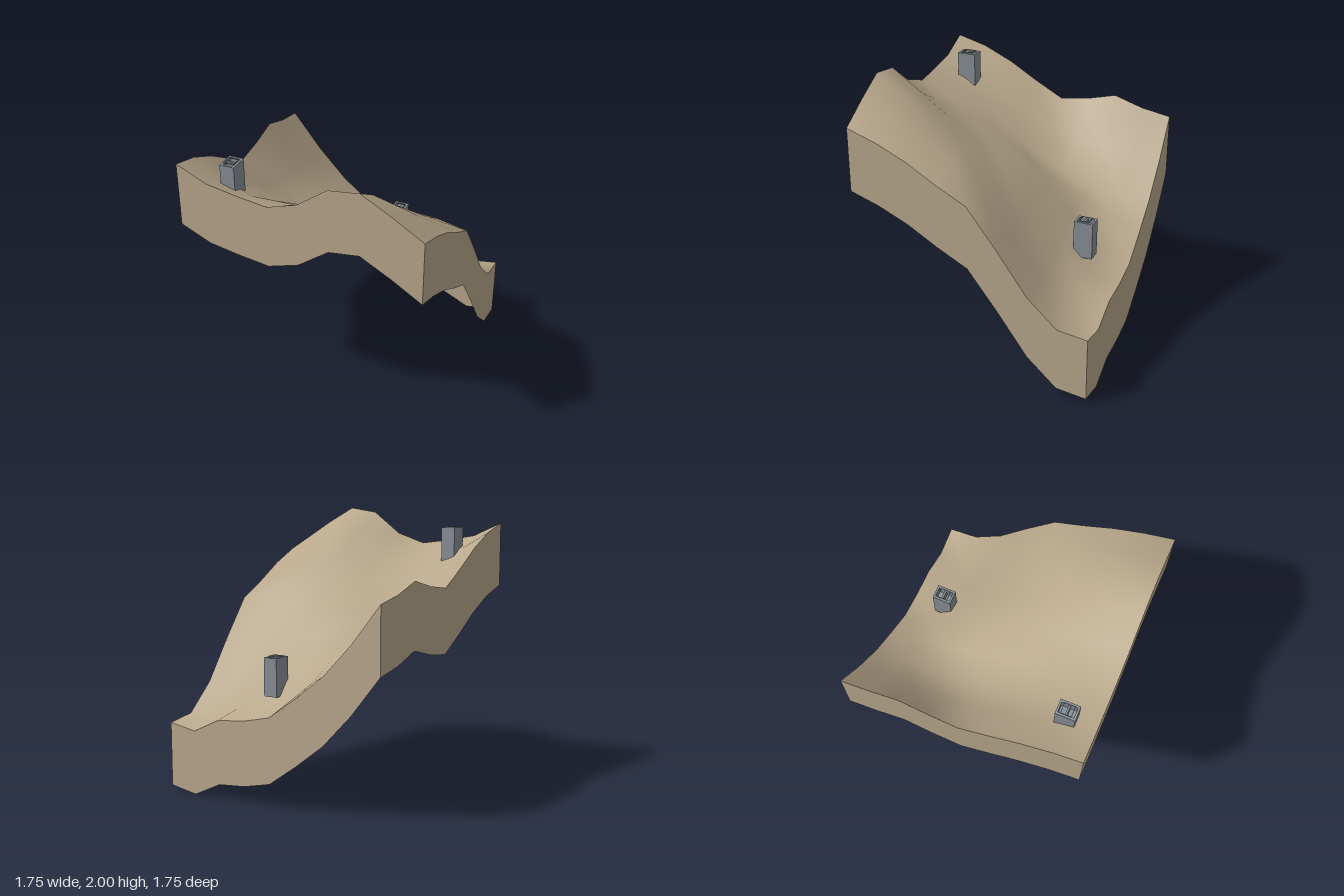
import * as THREE from 'three';

const HALF = 0.875, N = 9, STEP = (2 * HALF) / (N - 1), SKIRT = 0.465;

// Ground heights: one row per z from back to front, columns from -x to +x
const HEIGHTS = [
  [1.475, 1.20, 0.97, 0.80, 0.645, 0.595, 0.575, 0.47, 0.505],
  [1.515, 1.22, 1.00, 0.88, 0.71, 0.65, 0.62, 0.52, 0.535],
  [1.585, 1.24, 1.03, 1.00, 0.975, 0.87, 0.81, 0.765, 0.735],
  [1.53, 1.26, 1.07, 1.11, 1.165, 1.13, 1.10, 1.08, 1.04],
  [1.50, 1.34, 1.18, 1.25, 1.34, 1.33, 1.32, 1.37, 1.325],
  [1.62, 1.47, 1.34, 1.38, 1.45, 1.50, 1.53, 1.51, 1.44],
  [1.75, 1.60, 1.50, 1.51, 1.57, 1.66, 1.70, 1.65, 1.57],
  [1.85, 1.72, 1.65, 1.63, 1.69, 1.82, 1.87, 1.77, 1.67],
  [1.91, 1.81, 1.77, 1.74, 1.81, 1.97, 2.00, 1.88, 1.745],
];

const at = (i) => -HALF + i * STEP;

// Smooth hill surface
function groundGeometry() {
  const geo = new THREE.PlaneGeometry(2 * HALF, 2 * HALF, N - 1, N - 1);
  geo.rotateX(-Math.PI / 2);
  const pos = geo.attributes.position;
  for (let i = 0; i < pos.count; i++) pos.setY(i, HEIGHTS[Math.floor(i / N)][i % N]);
  geo.computeVertexNormals();
  return geo;
}

// Vertical band hanging from one edge; edge(i) gives [x, y, z] walking with the outside on the right
function skirtGeometry(edge) {
  const verts = [], index = [];
  for (let i = 0; i < N; i++) {
    const [x, y, z] = edge(i);
    verts.push(x, y, z, x, y - SKIRT, z);
    if (i < N - 1) {
      const a = 2 * i;
      index.push(a, a + 1, a + 2, a + 1, a + 3, a + 2);
    }
  }
  const geo = new THREE.BufferGeometry();
  geo.setAttribute('position', new THREE.Float32BufferAttribute(verts, 3));
  geo.setIndex(index);
  geo.computeVertexNormals();
  return geo;
}

function rectPath(path, w, d, cy = 0) {
  path.moveTo(-w / 2, cy - d / 2);
  path.lineTo(w / 2, cy - d / 2);
  path.lineTo(w / 2, cy + d / 2);
  path.lineTo(-w / 2, cy + d / 2);
  path.closePath();
  return path;
}

// Upright ring with rectangular openings
function ringGeometry(w, d, holes, height) {
  const shape = rectPath(new THREE.Shape(), w, d);
  for (const [hw, hd, c] of holes) shape.holes.push(rectPath(new THREE.Path(), hw, hd, c));
  const geo = new THREE.ExtrudeGeometry(shape, { depth: height, bevelEnabled: false });
  return geo.rotateX(-Math.PI / 2);
}

export function createModel() {
  const model = new THREE.Group();
  model.name = 'hillside';
  const earth = new THREE.MeshStandardMaterial({ color: 0xb8a78b, side: THREE.DoubleSide });
  earth.name = 'sandy earth';
  const stone = new THREE.MeshStandardMaterial({ color: 0x878e95 });
  stone.name = 'grey stone';

  const add = (parent, name, geo, mat, y = 0) => {
    const mesh = new THREE.Mesh(geo, mat);
    mesh.name = name;
    mesh.position.y = y;
    parent.add(mesh);
  };

  add(model, 'ground', groundGeometry(), earth);

  // Four cut sides of the open shell
  const L = N - 1;
  const sides = {
    frontSkirt: (i) => [at(i), HEIGHTS[L][i], HALF],
    rightSkirt: (i) => [-HALF, HEIGHTS[i][0], at(i)],
    backSkirt: (i) => [at(L - i), HEIGHTS[0][L - i], -HALF],
    leftSkirt: (i) => [HALF, HEIGHTS[L - i][L], at(L - i)],
  };
  for (const [name, edge] of Object.entries(sides)) add(model, name, skirtGeometry(edge), earth);

  // Two hollow block chimneys standing in the slope
  const W = 0.106, D = 0.14, H = 0.275, OPEN = 0.07;
  for (const [name, x, y, z] of [
    ['lowerChimney', 0.147, 0.735, -0.585],
    ['upperChimney', -0.583, 1.605, 0.655],
  ]) {
    const chimney = new THREE.Group();
    chimney.name = name;
    chimney.position.set(x, y, z);
    const body = new THREE.BoxGeometry(W, H - OPEN, D);
    add(chimney, 'chimneyBody', body, stone, (H - OPEN) / 2);
    const flues = [[0.07, 0.048, -0.031], [0.07, 0.048, 0.031]];
    add(chimney, 'chimneyRim', ringGeometry(W, D, flues, OPEN), stone, H - OPEN);
    // Slim liner lip just above the rim
    add(chimney, 'flueLip', ringGeometry(0.076, 0.076, [[0.07, 0.07, 0]], 0.008), stone, H);
    model.add(chimney);
  }
  return model;
}
